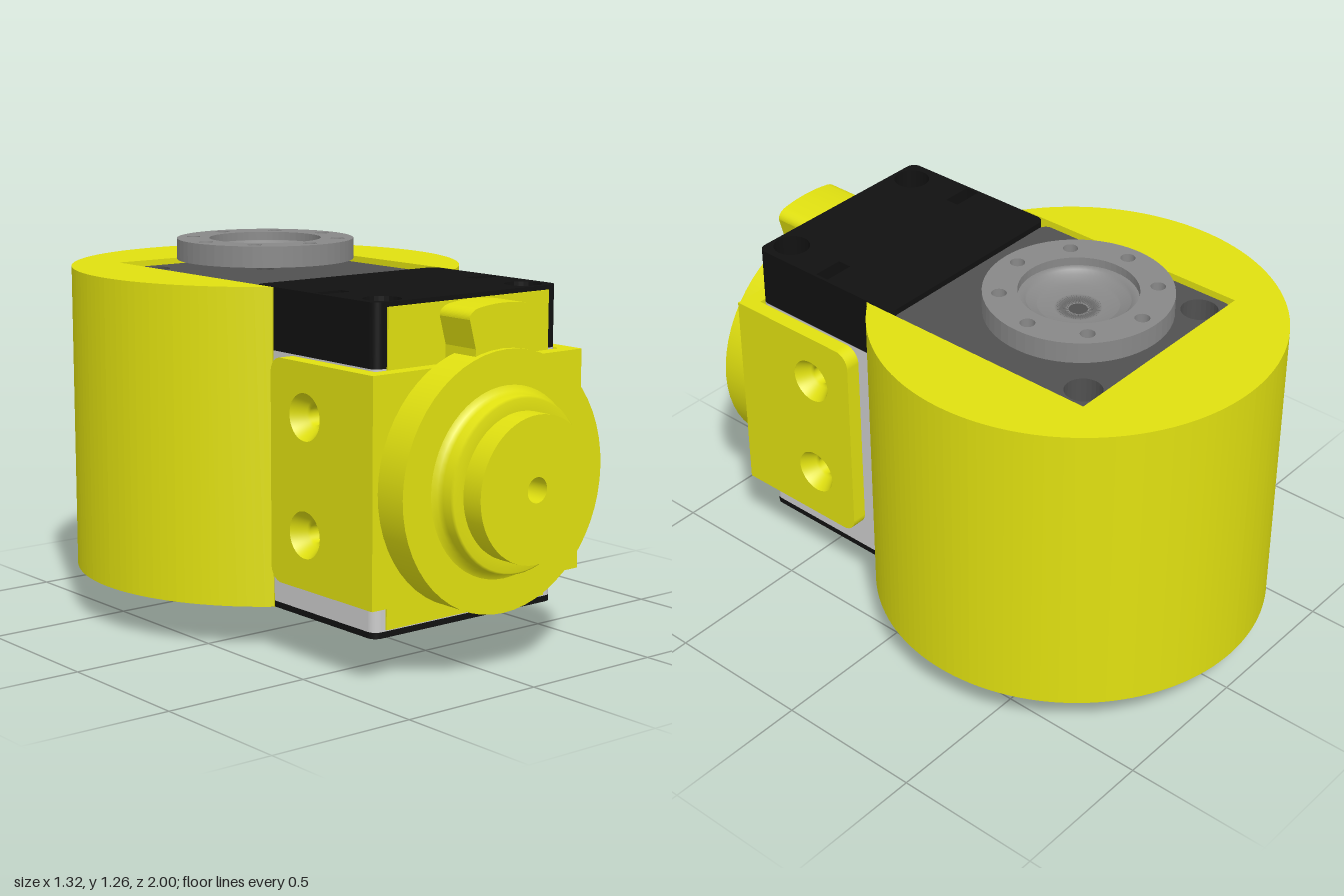
import * as THREE from 'three';

const mat = (color) => new THREE.MeshStandardMaterial({ color, side: THREE.DoubleSide });

export function createModel() {
  const root = new THREE.Group();
  const yellow = mat(0xe0e010), black = mat(0x111111), dark = mat(0x505050);
  const steel = mat(0x888888), grey = mat(0xcccccc);
  const axisZ = -0.345; // turning axis of drum and horns

  const add = (name, geo, material, parent = root) => {
    const m = new THREE.Mesh(geo, material);
    m.name = name;
    parent.add(m);
    return m;
  };
  const circle = (x, y, r) => new THREE.Path().absarc(x, y, r, 0, Math.PI * 2, true);
  const lathe = (pts) => new THREE.LatheGeometry(pts.map(([r, y]) => new THREE.Vector2(r, y)), 56);
  const extrude = (shape, depth, curveSegments = 12) =>
    new THREE.ExtrudeGeometry(shape, { depth, bevelEnabled: false, curveSegments });
  // Plan shapes are drawn with x right and y = -z, then raised between two heights
  const raise = (shape, y0, y1, seg) => extrude(shape, y1 - y0, seg).rotateX(-Math.PI / 2).translate(0, y0, 0);

  function roundRect(x0, y0, x1, y1, r) {
    const s = new THREE.Shape();
    s.absarc(x1 - r, y1 - r, r, 0, Math.PI / 2);
    s.absarc(x0 + r, y1 - r, r, Math.PI / 2, Math.PI);
    s.absarc(x0 + r, y0 + r, r, Math.PI, Math.PI * 1.5);
    s.absarc(x1 - r, y0 + r, r, Math.PI * 1.5, Math.PI * 2);
    s.closePath();
    return s;
  }

  // Drum with a straight slot open to the front
  const drum = new THREE.Shape();
  const a = Math.atan2(-0.54, 0.38), w = 0.38;
  drum.moveTo(-w, -0.2);
  drum.lineTo(-w, 0.67);
  drum.lineTo(w, 0.67);
  drum.lineTo(w, -0.2);
  drum.absarc(0, 0.342, 0.658, a, Math.PI - a, false);
  add('drum', raise(drum, 0.145, 1.175, 56), yellow);

  // Servo, stacked in layers with bolt holes through it
  const servo = new THREE.Group();
  servo.name = 'servo';
  root.add(servo);
  function layer(name, y0, y1, z0, z1, material, notched = false) {
    const s = roundRect(-0.375, -z1, 0.375, -z0, 0.03);
    for (const side of [-1, 1]) {
      for (const z of [-0.6, 0.62]) {
        if (z > z0 && z < z1) s.holes.push(circle(side * 0.29, -z, 0.06));
      }
      if (notched) {
        const n = new THREE.Path();
        [[0.26, 0.385], [0.365, 0.385], [0.365, 0.435], [0.26, 0.435]].forEach(([x, z], i) =>
          i ? n.lineTo(side * x, -z) : n.moveTo(side * x, -z));
        n.closePath();
        s.holes.push(n);
      }
    }
    if (z0 < axisZ) s.holes.push(circle(0, -axisZ, 0.03));
    add(name, raise(s, y0, y1), material, servo);
  }
  const back = -0.668, front = 0.69;
  layer('servoBottomFront', 0.145, 0.165, 0.1, front, black);
  layer('servoBottomRear', 0.15, 0.165, back, 0.1, dark);
  layer('servoBody', 0.165, 0.4, back, front, grey);
  layer('servoBody', 0.46, 0.77, back, front, grey);
  layer('servoBody', 0.83, 0.975, back, front, grey, true);
  // layers with a crosswise gap for the side bolts
  for (const y of [0.4, 0.77]) {
    layer('servoBoltLayerRear', y, y + 0.06, back, 0.39, grey);
    layer('servoBoltLayerFront', y, y + 0.06, 0.45, front, grey);
  }
  layer('servoLidFront', 0.975, 1.175, 0.1, front, black, true);
  layer('servoLidRear', 0.975, 1.155, back, 0.1, dark);
  add('servoFrontPanel', new THREE.BoxGeometry(0.66, 0.99, 0.01), yellow, servo).position.set(0, 0.665, 0.691);

  // Round horns with a ring of eight screw holes
  function horn(name, y0, y1, bore) {
    const s = new THREE.Shape().absarc(0, -axisZ, 0.3, 0, Math.PI * 2, false);
    s.holes.push(circle(0, -axisZ, bore));
    for (let i = 0; i < 8; i++) {
      const t = (i * Math.PI) / 4;
      s.holes.push(circle(0.247 * Math.cos(t), -axisZ + 0.247 * Math.sin(t), 0.024));
    }
    add(name, raise(s, y0, y1, 28), steel);
  }
  horn('topHorn', 1.193, 1.263, 0.19);
  add('topHornHub', lathe([[0.19, 1.235], [0.165, 1.235], [0.165, 1.215], [0.13, 1.215], [0.13, 1.2],
    [0.075, 1.2], [0.03, 1.193], [0.19, 1.193]]), steel).position.z = axisZ;
  horn('bottomHorn', 0.045, 0.11, 0.08);
  add('bottomHornBoss', lathe([[0.08, 0.045], [0.08, 0], [0.13, 0], [0.13, 0.045]]), steel).position.z = axisZ;
  add('bottomShaft', lathe([[0.03, 0.15], [0.03, 0.105], [0.08, 0.105], [0.08, 0.045]]), steel).position.z = axisZ;

  // U-shaped bracket: front plate, side plates and countersunk bolt sleeves
  const bracket = new THREE.Group();
  bracket.name = 'bracket';
  root.add(bracket);
  add('bracketFront', new THREE.BoxGeometry(0.86, 0.715, 0.052), yellow, bracket).position.set(0, 0.6125, 0.72);
  const plate = new THREE.Shape();
  plate.moveTo(-0.746, 0.255);
  plate.lineTo(-0.3, 0.255);
  plate.absarc(-0.3, 0.305, 0.05, -Math.PI / 2, 0);
  plate.absarc(-0.3, 0.92, 0.05, 0, Math.PI / 2);
  plate.lineTo(-0.746, 0.97);
  plate.closePath();
  for (const y of [0.43, 0.8]) plate.holes.push(circle(-0.42, y, 0.075));
  for (const side of [-1, 1]) {
    const geo = extrude(plate, 0.052, 24).rotateY(Math.PI / 2).translate(side > 0 ? 0.378 : -0.43, 0, 0);
    add('bracketSide', geo, yellow, bracket);
    for (const y of [0.43, 0.8]) {
      const sleeve = lathe([[0.075, 0.43], [0.045, 0.385], [0.03, 0.385], [0.03, 0.26]]);
      add('boltSleeve', sleeve.rotateZ(-side * Math.PI / 2), yellow, bracket).position.set(0, y, 0.42);
    }
  }

  // Stepped round cap on the front, with a tab on top
  const cap = [[0.04, 0.747], [0.04, 1], [0.04, 1], [0.23, 1], [0.23, 1], [0.23, 0.925], [0.23, 0.925],
    [0.268, 0.925], [0.275, 0.918], [0.275, 0.885], [0.282, 0.868], [0.3, 0.86], [0.3, 0.86],
    [0.41, 0.86], [0.41, 0.86], [0.41, 0.745], [0.41, 0.745], [0.04, 0.745]];
  add('frontCap', lathe(cap).rotateX(Math.PI / 2), yellow).position.y = 0.613;
  add('capBore', new THREE.CircleGeometry(0.04, 24), grey).position.set(0, 0.613, 0.749);
  const tab = new THREE.Shape();
  tab.moveTo(-0.11, 0.98);
  tab.lineTo(-0.11, 1.03);
  tab.lineTo(-0.135, 1.12);
  tab.quadraticCurveTo(-0.135, 1.145, -0.1, 1.153);
  tab.quadraticCurveTo(0, 1.17, 0.1, 1.153);
  tab.quadraticCurveTo(0.135, 1.145, 0.135, 1.12);
  tab.lineTo(0.11, 1.03);
  tab.lineTo(0.11, 0.98);
  tab.closePath();
  add('capTab', extrude(tab, 0.135).translate(0, 0, 0.705), yellow);

  return root;
}
